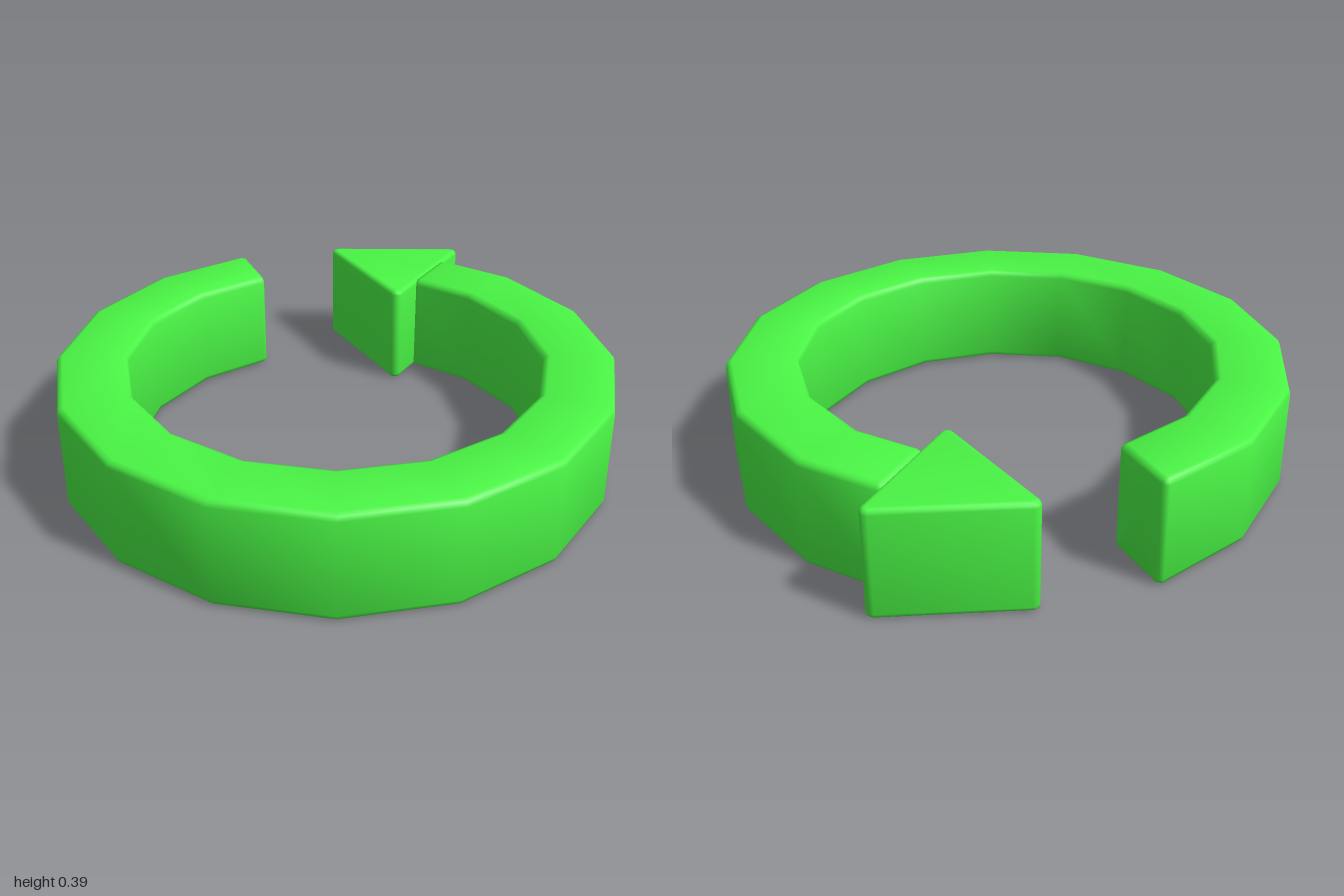
import * as THREE from 'three';
import { toCreasedNormals } from 'three/addons/utils/BufferGeometryUtils.js';

const HEIGHT = 0.385, BEVEL = 0.022;
const OUTER = 0.992, INNER = 0.737, CENTRE_Z = 0.003;

// Rounded rectangle between an inner and an outer ground point, shrunk by inset
// and shifted by (dx, dz)
function section({ inner, outer }, inset = 0, dx = 0, dz = 0) {
  const width = inner.distanceTo(outer);
  const dir = outer.clone().sub(inner).normalize();
  const r = Math.max(BEVEL - inset, 0.004);
  const lo = inset + r, hiU = width - inset - r, hiY = HEIGHT - inset - r;
  const corners = [[hiU, lo, -90], [hiU, hiY, 0], [lo, hiY, 90], [lo, lo, 180]];
  const points = [];
  for (const [cu, cy, start] of corners) {
    for (let k = 0; k < 3; k++) {
      const a = THREE.MathUtils.degToRad(start + 45 * k);
      const u = cu + r * Math.cos(a);
      points.push(new THREE.Vector3(inner.x + dir.x * u + dx, cy + r * Math.sin(a), inner.y + dir.y * u + dz));
    }
  }
  return points;
}

// Skin a row of closed sections and close both ends
function loft(sections) {
  const pos = [];
  const tri = (...pts) => pts.forEach((p) => pos.push(p.x, p.y, p.z));
  const n = sections[0].length;
  for (let i = 0; i < sections.length - 1; i++) {
    const a = sections[i], b = sections[i + 1];
    for (let j = 0; j < n; j++) {
      const k = (j + 1) % n;
      tri(a[j], a[k], b[k]);
      tri(a[j], b[k], b[j]);
    }
  }
  const cap = (s, flip) => {
    const mid = s.reduce((m, p) => m.add(p), new THREE.Vector3()).divideScalar(n);
    for (let j = 0; j < n; j++) {
      const k = (j + 1) % n;
      if (flip) tri(mid, s[k], s[j]);
      else tri(mid, s[j], s[k]);
    }
  };
  cap(sections[0], true);
  cap(sections[sections.length - 1], false);
  const geo = new THREE.BufferGeometry();
  geo.setAttribute('position', new THREE.Float32BufferAttribute(pos, 3));
  return toCreasedNormals(geo, THREE.MathUtils.degToRad(50));
}

// Sixteen-sided open ring: angles run from the back round to the model's left
function ringGeometry() {
  const at = (r, a) => new THREE.Vector2(r * Math.sin(a), CENTRE_Z - r * Math.cos(a));
  // slanted end behind the arrowhead
  const start = { inner: new THREE.Vector2(0.335, -0.645), outer: new THREE.Vector2(0.465, -0.857) };
  const stations = [start];
  for (let i = 2; i <= 15; i++) {
    const a = (i * Math.PI) / 8;
    stations.push({ inner: at(INNER, a), outer: at(OUTER, a) });
  }
  const sections = stations.map((s) => section(s));

  // free end: pull the last station back so that the bevel finishes at the cut
  const end = stations[stations.length - 1];
  const t = new THREE.Vector2(Math.cos(Math.PI / 8), -Math.sin(Math.PI / 8));
  const b = BEVEL * 0.9;
  sections[sections.length - 1] = section(end, 0, -t.x * b, -t.y * b);
  sections.push(section(end, b * 0.3, -t.x * b * 0.3, -t.y * b * 0.3), section(end, b));

  // bevel of the slanted end
  sections.unshift(
    section(start, b, -0.024, -0.015),
    section(start, b * 0.3, -0.016, -0.01),
  );
  return loft(sections);
}

// Triangular prism with rounded corners and edges
function arrowGeometry() {
  const r = 0.025, bevel = 0.018;
  const corners = [[0.015, 0.975, 90], [0.242, 0.566, 210], [0.487, 0.968, 330]];
  const shape = new THREE.Shape();
  for (const [x, y, start] of corners) {
    for (let k = 0; k <= 4; k++) {
      const a = THREE.MathUtils.degToRad(start + 30 * k);
      const px = x + r * Math.cos(a), py = y + r * Math.sin(a);
      if (x === corners[0][0] && k === 0) shape.moveTo(px, py);
      else shape.lineTo(px, py);
    }
  }
  shape.closePath();
  const geo = new THREE.ExtrudeGeometry(shape, {
    depth: HEIGHT - 2 * bevel, bevelEnabled: true, bevelThickness: bevel,
    bevelSize: bevel, bevelOffset: -bevel, bevelSegments: 3,
  });
  geo.translate(0, 0, bevel);
  geo.rotateX(-Math.PI / 2);
  return toCreasedNormals(geo, THREE.MathUtils.degToRad(50));
}

export function createModel() {
  const group = new THREE.Group();
  group.name = 'circularArrow';
  const green = new THREE.MeshStandardMaterial({ color: 0x4af545 });
  const add = (name, geometry) => {
    const mesh = new THREE.Mesh(geometry, green);
    mesh.name = name;
    group.add(mesh);
  };
  add('openRing', ringGeometry());
  add('arrowhead', arrowGeometry());
  return group;
}
